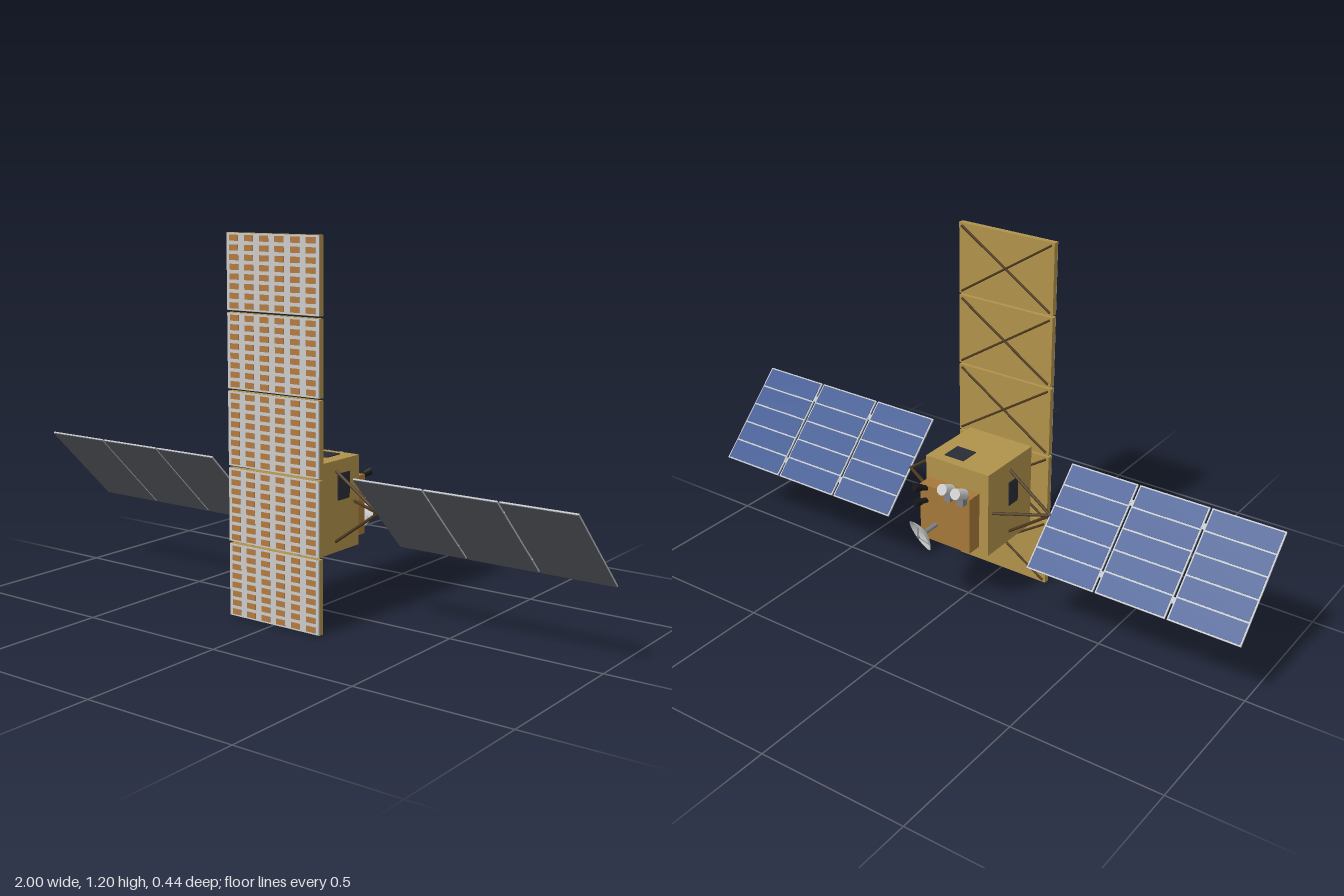
import * as THREE from 'three';
import { mergeGeometries } from 'three/addons/utils/BufferGeometryUtils.js';

const V = (x, y, z) => new THREE.Vector3(x, y, z);
const mat = (color, side = THREE.FrontSide) => new THREE.MeshStandardMaterial({ color, side });
const M = {
  gold: mat(0xb0924a), bronze: mat(0xa5783a), tile: mat(0xb27a40), grey: mat(0xcccccc),
  rod: mat(0x4f3a20), blue: mat(0x36538e), back: mat(0x626468), frame: mat(0xb8bcc0),
  dark: mat(0x2a2d36), black: mat(0x18181a), metal: mat(0x808488), dish: mat(0xcccccc, THREE.DoubleSide),
};

// Box geometry given by its size and centre
const boxGeo = (w, h, d, x, y, z) => new THREE.BoxGeometry(w, h, d).translate(x, y, z);

// Cylinder geometry running from a to b
function rodGeo(a, b, r0, r1 = r0, sides = 8) {
  const d = b.clone().sub(a);
  const g = new THREE.CylinderGeometry(r1, r0, d.length(), sides);
  g.applyQuaternion(new THREE.Quaternion().setFromUnitVectors(V(0, 1, 0), d.normalize()));
  return g.translate((a.x + b.x) / 2, (a.y + b.y) / 2, (a.z + b.z) / 2);
}

function add(parent, name, geos, material) {
  const list = Array.isArray(geos) ? geos : [geos];
  const mesh = new THREE.Mesh(list.length > 1 ? mergeGeometries(list) : list[0], material);
  mesh.name = name;
  parent.add(mesh);
  return mesh;
}

// One segment of the tall radar antenna, its bottom at y = 0
function antennaSegment() {
  const g = new THREE.Group();
  g.name = 'antennaSegment';
  const h = 0.234, cy = 0.12;
  add(g, 'segmentBody', boxGeo(0.35, h, 0.018, 0, cy, 0.206), M.gold);
  add(g, 'segmentFace', boxGeo(0.348, h - 0.002, 0.003, 0, cy, 0.2165), M.grey);
  const tiles = [];
  for (let c = 0; c < 6; c++)
    for (let r = 0; r < 8; r++)
      tiles.push(boxGeo(0.034, 0.018, 0.003, (c - 2.5) * 0.058, cy + (r - 3.5) * 0.029, 0.2185));
  add(g, 'radiatingTiles', tiles, M.tile);
  // crossed stiffeners on the back
  const z = 0.195, lo = 0.012, hi = 0.228;
  add(g, 'backBraces', [
    rodGeo(V(-0.165, lo, z), V(0.165, hi, z), 0.004, 0.004, 6),
    rodGeo(V(-0.165, hi, z), V(0.165, lo, z), 0.004, 0.004, 6),
  ], M.rod);
  return g;
}

// Solar wing on +x: three tilted sections, local +y is the cell side
function solarWing() {
  const wing = new THREE.Group();
  wing.name = 'solarWing';
  const array = new THREE.Group();
  array.name = 'solarArray';
  array.position.set(0, 0.362, 0.055);
  array.rotation.x = -Math.PI / 4;
  const w = 0.238, d = 0.362, rowPitch = 0.0716;
  const frames = [], backs = [], cells = [];
  for (let i = 0; i < 3; i++) {
    const x = 0.392 + i * 0.2445;
    frames.push(boxGeo(w, 0.005, d, x, 0, 0));
    backs.push(boxGeo(w - 0.002, 0.002, d - 0.002, x, -0.003, 0));
    for (let r = 0; r < 5; r++)
      cells.push(boxGeo(w - 0.01, 0.002, 0.066, x, 0.003, (r - 2) * rowPitch));
  }
  // hinges between the sections
  for (const x of [0.514, 0.759])
    for (const z of [-0.12, 0.12]) frames.push(boxGeo(0.012, 0.004, 0.02, x, 0, z));
  add(array, 'sectionFrames', frames, M.frame);
  add(array, 'sectionBacks', backs, M.back);
  add(array, 'solarCells', cells, M.blue);
  wing.add(array);
  // yoke struts meeting at the inner edge
  const tip = V(0.275, 0.362, 0.055);
  const roots = [V(0.118, 0.475, 0.058), V(0.118, 0.25, 0.058), V(0.118, 0.362, -0.04)];
  add(wing, 'yokeStruts', roots.map(p => rodGeo(p, tip, 0.005)), M.rod);
  return wing;
}

// Dish with its feed, opening along local +y from the origin
function dishAntenna() {
  const g = new THREE.Group();
  g.name = 'dishAntenna';
  const profile = [];
  for (let i = 0; i <= 8; i++) {
    const r = 0.056 * i / 8;
    profile.push(new THREE.Vector2(r, 6.5 * r * r));
  }
  add(g, 'dishReflector', new THREE.LatheGeometry(profile, 32), M.dish);
  const feed = V(0, 0.028, 0), legs = [];
  for (let i = 0; i < 3; i++) {
    const a = i * Math.PI * 2 / 3;
    legs.push(rodGeo(V(0.045 * Math.cos(a), 0.013, 0.045 * Math.sin(a)), feed, 0.0013, 0.0013, 5));
  }
  add(g, 'feedLegs', legs, M.metal);
  add(g, 'feedHorn', rodGeo(V(0, 0.024, 0), V(0, 0.031, 0), 0.004, 0.006, 10), M.metal);
  g.quaternion.setFromUnitVectors(V(0, 1, 0), V(0.37, -0.37, -0.85).normalize());
  g.position.set(0.045, 0.302, -0.172);
  return g;
}

export function createModel() {
  const model = new THREE.Group();
  model.name = 'radarSatellite';

  // main body and rear instrument module
  add(model, 'mainBody', boxGeo(0.24, 0.289, 0.243, 0, 0.3615, 0.0585), M.gold);
  add(model, 'instrumentModule', boxGeo(0.192, 0.193, 0.054, 0.01, 0.3365, -0.088), M.bronze);

  // dark radiator patches on the sides, top and bottom
  add(model, 'radiatorPatches', [
    boxGeo(0.004, 0.084, 0.06, 0.121, 0.421, 0.02),
    boxGeo(0.004, 0.084, 0.05, -0.121, 0.39, 0.075),
    boxGeo(0.072, 0.004, 0.07, 0.036, 0.507, 0.006),
    boxGeo(0.09, 0.004, 0.085, 0, 0.216, 0.045),
  ], M.dark);

  // tall antenna in five segments
  const antenna = new THREE.Group();
  antenna.name = 'radarAntenna';
  for (let i = 0; i < 5; i++) {
    const s = antennaSegment();
    s.position.y = i * 0.2405 - 0.003;
    antenna.add(s);
  }
  model.add(antenna);

  // brackets holding the antenna to the body
  const brackets = [];
  for (const x of [-0.09, 0.09])
    for (const y of [0.24, 0.483]) brackets.push(rodGeo(V(x, y, 0.178), V(x, y, 0.208), 0.006));
  add(model, 'antennaBrackets', brackets, M.metal);

  // solar wings on both sides
  const left = solarWing();
  const right = solarWing();
  left.name = 'leftSolarWing';
  right.name = 'rightSolarWing';
  right.scale.x = -1;
  model.add(left, right);

  // pair of light star trackers looking back and up
  for (const x of [-0.064, -0.014]) {
    add(model, 'starTracker', rodGeo(V(x, 0.447, -0.116), V(x, 0.469, -0.162), 0.018, 0.018, 20), M.grey);
    add(model, 'trackerMount', boxGeo(0.024, 0.03, 0.03, x, 0.43, -0.122), M.metal);
  }

  // pair of black sensors, flaring outward
  const sensors = [
    [V(0.082, 0.422, -0.112), V(0.1, 0.437, -0.152)],
    [V(0.082, 0.379, -0.112), V(0.1, 0.379, -0.152)],
  ];
  for (const [a, b] of sensors) {
    const mid = a.clone().lerp(b, 0.45);
    add(model, 'blackSensor', [rodGeo(a, mid, 0.009, 0.009, 16), rodGeo(mid, b, 0.011, 0.014, 16)], M.black);
  }

  // dish on its stem
  add(model, 'dishStem', rodGeo(V(0.045, 0.302, -0.114), V(0.045, 0.302, -0.172), 0.0075, 0.0075, 12), M.metal);
  model.add(dishAntenna());

  return model;
}
